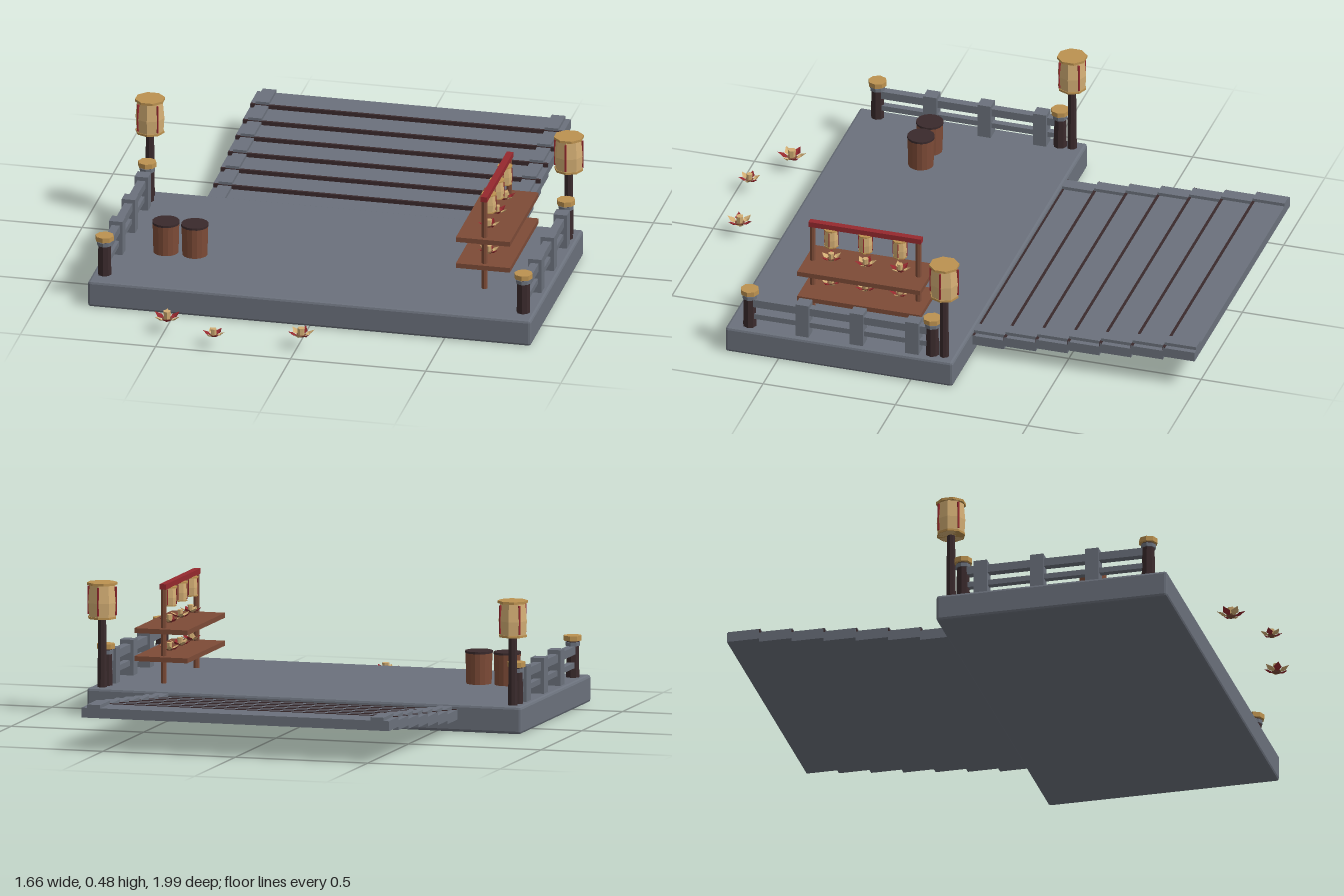
import * as THREE from 'three';
import { RoundedBoxGeometry } from 'three/addons/geometries/RoundedBoxGeometry.js';

const mat = (name, color, opts = {}) => {
  const m = new THREE.MeshStandardMaterial({ color, flatShading: true, ...opts });
  m.name = name;
  return m;
};

export function createModel() {
  const stone = mat('stone grey', 0x6b717c);
  const dark = mat('dark timber', 0x3a2a2c);
  const brown = mat('brown timber', 0x7d4b37);
  const red = mat('red lacquer', 0x96292e, { side: THREE.DoubleSide });
  const gold = mat('gold', 0xbc9250);
  const paper = mat('lantern paper', 0xd3ae74, { side: THREE.DoubleSide });

  const root = new THREE.Group();
  root.name = 'lanternDock';

  const add = (parent, name, geo, material, x = 0, y = 0, z = 0) => {
    const m = new THREE.Mesh(geo, material);
    m.name = name;
    m.position.set(x, y, z);
    parent.add(m);
    return m;
  };
  const group = (name, x = 0, y = 0, z = 0) => {
    const g = new THREE.Group();
    g.name = name;
    g.position.set(x, y, z);
    root.add(g);
    return g;
  };
  const box = (w, h, d) => new THREE.BoxGeometry(w, h, d);
  const cyl = (top, bottom, h, n = 8) => new THREE.CylinderGeometry(top, bottom, h, n);

  // Main platform with softened edges
  add(root, 'platform', new RoundedBoxGeometry(1.64, 0.1, 0.86, 1, 0.01), stone, 0, 0.05, 0.27);

  // Rising steps behind the platform, each with a dark nosing and two side rails
  const steps = group('steps');
  for (let i = 0; i < 7; i++) {
    const z = -0.22 - i * 0.12, y = 0.063 + i * 0.0125;
    add(steps, 'stepSlab', box(1.16, 0.036, 0.12), stone, 0, y, z);
    add(steps, 'stepNosing', box(1.156, 0.034, 0.01), dark, 0, y + 0.003, z + 0.0575);
    for (const s of [-1, 1]) add(steps, 'stepRail', box(0.05, 0.012, 0.12), stone, s * 0.535, y + 0.024, z);
  }

  // Paper lantern with gold cap and four red ribs; origin at its bottom centre
  const lantern = (parent, r, h, x, y, z, turn = 0) => {
    const g = new THREE.Group();
    g.name = 'lantern';
    g.position.set(x, y, z);
    g.rotation.y = turn;
    parent.add(g);
    const profile = [[0, 0], [0.9, 0], [0.97, 0.45], [0.85, 1], [0, 1]]
      .map(([a, b]) => new THREE.Vector2(a * r, b * h));
    add(g, 'lanternBody', new THREE.LatheGeometry(profile, 8), paper);
    add(g, 'lanternCap', cyl(r, r, h * 0.07), gold, 0, h * 0.98, 0).rotation.y = Math.PI / 8;
    add(g, 'lanternBase', cyl(r * 0.96, r * 0.96, h * 0.06), gold, 0, h * 0.03, 0);
    for (let i = 0; i < 4; i++) {
      const a = i * Math.PI / 2;
      const rib = add(g, 'lanternRib', box(r * 0.1, h * 0.8, r * 0.16), red,
        Math.sin(a) * r * 0.91, h * 0.5, Math.cos(a) * r * 0.91);
      rib.rotation.y = a;
    }
  };

  // Fences and tall lanterns on both sides
  for (const s of [-1, 1]) {
    const fence = group(s > 0 ? 'leftFence' : 'rightFence', s * 0.775);
    for (const z of [0, 0.21, 0.415]) add(fence, 'fencePost', box(0.05, 0.13, 0.05), stone, 0, 0.165, z);
    add(fence, 'upperRail', box(0.03, 0.03, 0.69), stone, 0, 0.2, 0.275);
    add(fence, 'lowerRail', box(0.025, 0.02, 0.69), stone, 0, 0.145, 0.275);
    for (const z of [-0.07, 0.62]) {
      add(fence, 'endPost', cyl(0.023, 0.025, 0.135), dark, 0, 0.1675, z);
      add(fence, 'endPostCollar', cyl(0.028, 0.028, 0.014), stone, 0, 0.222, z);
      add(fence, 'endPostCap', cyl(0.034, 0.034, 0.018), gold, 0, 0.243, z);
    }
    const lamp = group('lampPost', s * 0.775, 0, -0.115);
    add(lamp, 'lampPole', cyl(0.015, 0.018, 0.27), dark, 0, 0.225, 0);
    lantern(lamp, 0.055, 0.13, 0, 0.35, 0, s > 0 ? 0 : Math.PI / 4);
  }

  // Two barrels with dark lids
  for (const x of [-0.605, -0.498]) {
    const barrel = group('barrel', x, 0.1, 0.37);
    add(barrel, 'barrelBody', cyl(0.049, 0.046, 0.114, 16), brown, 0, 0.057, 0);
    add(barrel, 'barrelLid', cyl(0.05, 0.05, 0.008, 16), dark, 0, 0.116, 0);
  }

  // Upturned petal: a pointed leaf folded along its middle
  const petalGeo = new THREE.BufferGeometry();
  petalGeo.setAttribute('position', new THREE.Float32BufferAttribute([
    0, 0, 0.15, -0.3, 0.22, 0.58, 0, 0.1, 0.6, 0.3, 0.22, 0.58, 0, 0.45, 1], 3));
  petalGeo.setIndex([0, 2, 1, 0, 3, 2, 1, 2, 4, 2, 3, 4]);
  petalGeo.computeVertexNormals();

  // Blossom lamp: alternating petals round a small paper cup
  const blossom = (parent, r, x, y, z, turn = 0) => {
    const g = new THREE.Group();
    g.name = 'blossom';
    g.position.set(x, y, z);
    g.rotation.y = turn;
    g.scale.setScalar(r);
    parent.add(g);
    for (let i = 0; i < 6; i++)
      add(g, 'petal', petalGeo, i % 2 ? paper : red).rotation.y = i * Math.PI / 3;
    add(g, 'blossomBase', cyl(0.4, 0.25, 0.16, 6), brown, 0, 0.05, 0);
    add(g, 'blossomCup', cyl(0.28, 0.24, 0.55, 6), paper, 0, 0.4, 0);
  };

  // Display stall: two shelves, posts, red beam, hanging lanterns and blossoms
  const stall = group('stall', 0.59);
  for (const y of [0.19, 0.292]) add(stall, 'shelf', box(0.2, 0.018, 0.465), brown, 0, y, 0.235);
  for (const z of [0.04, 0.44]) add(stall, 'stallPost', cyl(0.011, 0.011, 0.35), brown, 0, 0.275, z);
  add(stall, 'stallBeam', box(0.024, 0.02, 0.425), red, 0, 0.452, 0.24);
  [0.11, 0.24, 0.37].forEach((z, i) => {
    lantern(stall, 0.028, 0.07, 0, 0.372, z);
    blossom(stall, 0.04, 0, 0.313, z, i * 0.4);
    blossom(stall, 0.04, 0, 0.211, z, i * 0.4 + 0.3);
  });

  // Floating blossoms in front
  const floating = group('floatingBlossoms');
  blossom(floating, 0.052, -0.49, 0.045, 0.855, 0.2);
  blossom(floating, 0.041, -0.295, 0.044, 0.955, 0.5);
  blossom(floating, 0.049, 0.015, 0.047, 0.895, 0.9);

  return root;
}
